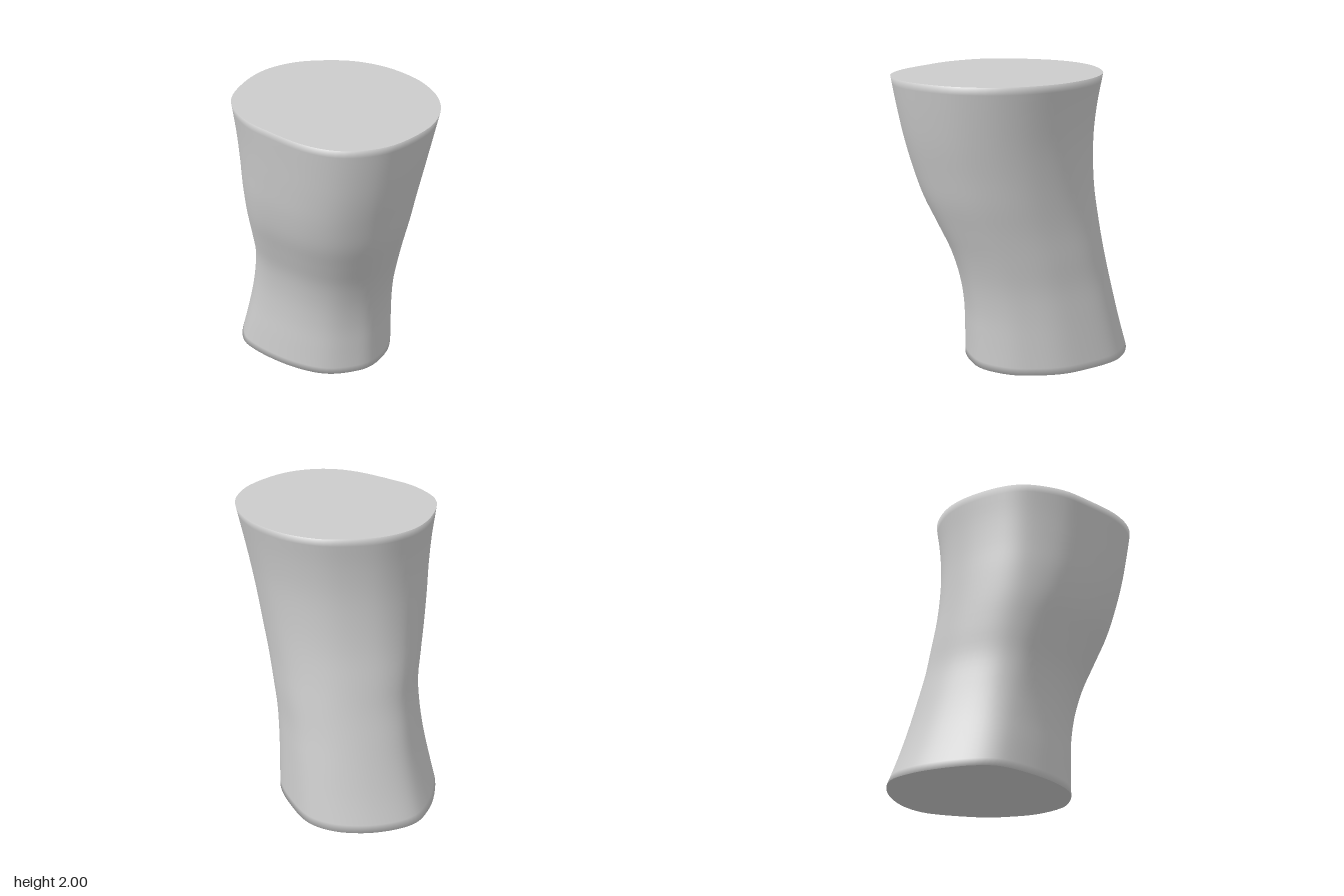
import * as THREE from 'three';

// Outlines [x, z], ordered back, +x side, front, -x side
const TOP = [[-0.02, -0.58], [0.18, -0.55], [0.37, -0.44], [0.5, -0.31], [0.59, -0.12], [0.62, 0.1], [0.6, 0.28],
  [0.53, 0.47], [0.4, 0.64], [0.2, 0.77], [-0.08, 0.83], [-0.28, 0.8], [-0.45, 0.69], [-0.56, 0.5], [-0.62, 0.22],
  [-0.64, 0.03], [-0.6, -0.18], [-0.52, -0.32], [-0.38, -0.44], [-0.2, -0.54]];
const BOTTOM = [[0.08, -0.83], [0.23, -0.8], [0.4, -0.71], [0.54, -0.58], [0.62, -0.44], [0.64, -0.3], [0.6, -0.1],
  [0.54, 0.07], [0.44, 0.21], [0.3, 0.34], [0.1, 0.41], [-0.06, 0.38], [-0.22, 0.29], [-0.34, 0.13], [-0.43, -0.08],
  [-0.48, -0.3], [-0.46, -0.43], [-0.36, -0.57], [-0.2, -0.71], [-0.06, -0.79]];

// Extents at even heights from y = 0 to y = 2
const X_MIN = [-0.48, -0.455, -0.43, -0.42, -0.435, -0.485, -0.54, -0.575, -0.595, -0.615, -0.64];
const X_MAX = [0.64, 0.615, 0.59, 0.565, 0.55, 0.535, 0.53, 0.535, 0.55, 0.58, 0.62];
const Z_MIN = [-0.835, -0.765, -0.705, -0.655, -0.61, -0.585, -0.56, -0.545, -0.54, -0.55, -0.575];
const Z_MAX = [0.41, 0.412, 0.42, 0.45, 0.505, 0.58, 0.655, 0.71, 0.76, 0.8, 0.835];

const SEGMENTS = 80;

// Smooth lookup in a height table
function track(values) {
  const curve = new THREE.CatmullRomCurve3(values.map((v, i) => new THREE.Vector3(v, i, 0)), false, 'catmullrom', 0.5);
  return (t) => curve.getPoint(t).x;
}

// Closed smooth outline, scaled to the unit square
function unitOutline(points) {
  const curve = new THREE.CatmullRomCurve3(points.map(([x, z]) => new THREE.Vector3(x, 0, z)), true, 'catmullrom', 0.5);
  const ring = Array.from({ length: SEGMENTS }, (_, j) => curve.getPoint(j / SEGMENTS));
  const box = new THREE.Box3().setFromPoints(ring);
  const size = box.getSize(new THREE.Vector3());
  return ring.map((p) => [(p.x - box.min.x) / size.x, (p.z - box.min.z) / size.z]);
}

// Wall lofted through all heights, without a seam
function wallGeometry(rings) {
  const index = [];
  for (let i = 0; i < rings.length - 1; i++) {
    for (let j = 0; j < SEGMENTS; j++) {
      const k = (j + 1) % SEGMENTS;
      const a = i * SEGMENTS + j, b = i * SEGMENTS + k;
      index.push(a, a + SEGMENTS, b, b, a + SEGMENTS, b + SEGMENTS);
    }
  }
  const geometry = new THREE.BufferGeometry().setFromPoints(rings.flat());
  geometry.setIndex(index);
  geometry.computeVertexNormals();
  // Soften the shading at both rims
  const normal = geometry.attributes.normal;
  const n = new THREE.Vector3();
  const last = (rings.length - 1) * SEGMENTS;
  for (let j = 0; j < SEGMENTS; j++) {
    for (const [at, tilt] of [[j, -0.8], [last + j, 0.8]]) {
      n.fromBufferAttribute(normal, at);
      n.y += tilt;
      n.normalize();
      normal.setXYZ(at, n.x, n.y, n.z);
    }
  }
  return geometry;
}

// Flat fan closing one end
function capGeometry(ring, up) {
  const center = ring.reduce((sum, p) => sum.add(p), new THREE.Vector3()).divideScalar(SEGMENTS);
  const index = [];
  for (let j = 0; j < SEGMENTS; j++) {
    const k = (j + 1) % SEGMENTS;
    if (up) index.push(SEGMENTS, k, j);
    else index.push(SEGMENTS, j, k);
  }
  const geometry = new THREE.BufferGeometry().setFromPoints([...ring, center]);
  geometry.setIndex(index);
  geometry.computeVertexNormals();
  return geometry;
}

export function createModel() {
  const group = new THREE.Group();
  group.name = 'curvedColumn';
  const material = new THREE.MeshStandardMaterial({ color: 0xcccccc });

  const top = unitOutline(TOP), bottom = unitOutline(BOTTOM);
  const [xMin, xMax, zMin, zMax] = [X_MIN, X_MAX, Z_MIN, Z_MAX].map(track);

  // Cross-sections blend from the bottom outline to the top outline
  const heights = Array.from({ length: 41 }, (_, i) => i / 40);
  const rings = heights.map((t) => {
    const blend = THREE.MathUtils.smoothstep(t, 0, 1);
    return bottom.map(([bx, bz], j) => {
      const u = THREE.MathUtils.lerp(bx, top[j][0], blend);
      const v = THREE.MathUtils.lerp(bz, top[j][1], blend);
      return new THREE.Vector3(
        THREE.MathUtils.lerp(xMin(t), xMax(t), u),
        2 * t,
        THREE.MathUtils.lerp(zMin(t), zMax(t), v));
    });
  });

  const add = (name, geometry) => {
    const mesh = new THREE.Mesh(geometry, material);
    mesh.name = name;
    group.add(mesh);
  };
  add('wall', wallGeometry(rings));
  add('topCap', capGeometry(rings[rings.length - 1], true));
  add('bottomCap', capGeometry(rings[0], false));
  return group;
}
